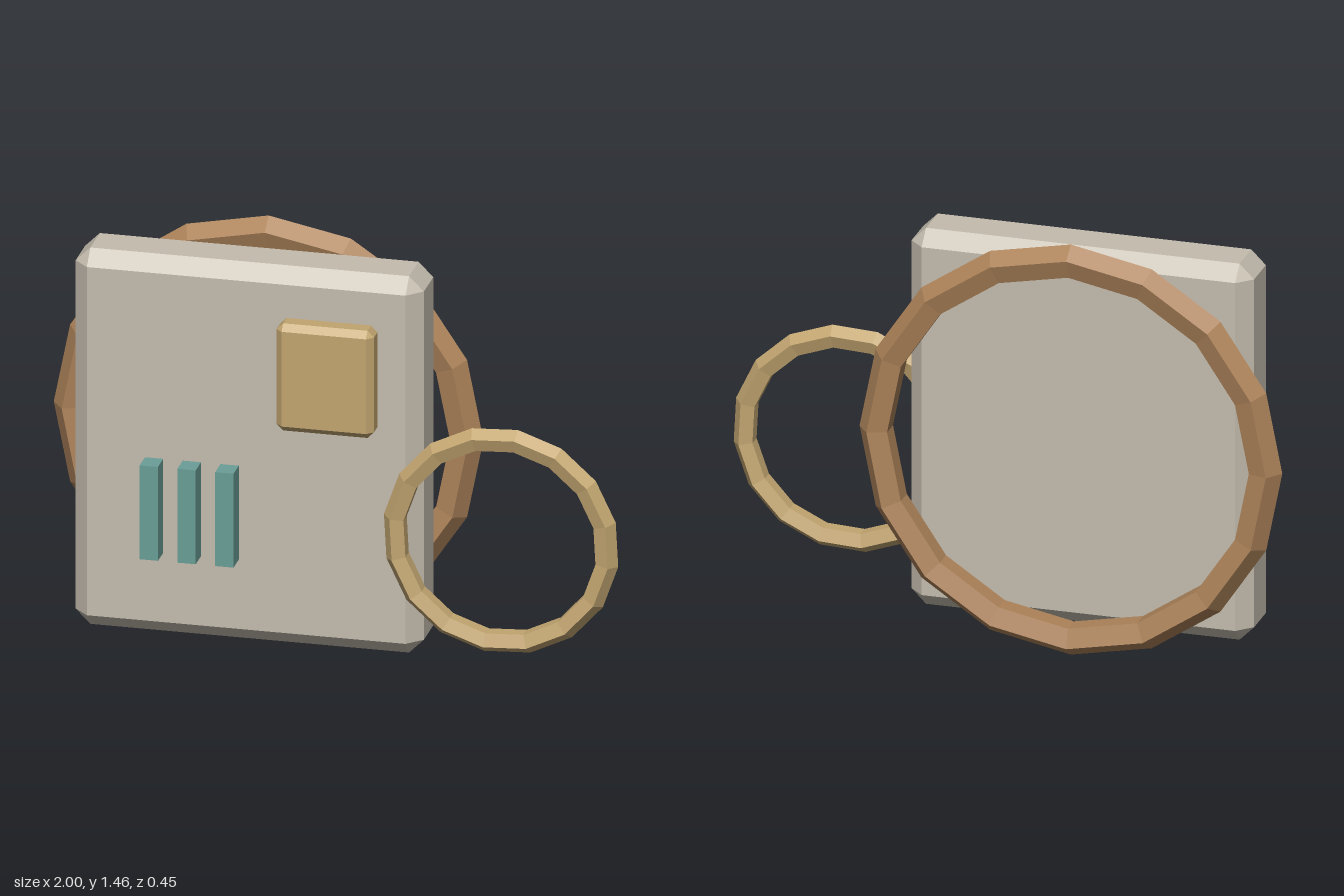
import * as THREE from 'three';
import { ConvexGeometry } from 'three/addons/geometries/ConvexGeometry.js';

const mat = (name, color) => {
  const m = new THREE.MeshStandardMaterial({ color, flatShading: true });
  m.name = name;
  return m;
};

// Box with a single flat chamfer on every edge and a triangle at each corner
function chamferBox(w, h, d, c) {
  const pts = [];
  for (const x of [-1, 1]) for (const y of [-1, 1]) for (const z of [-1, 1]) {
    for (let axis = 0; axis < 3; axis++) {
      const cut = [c, c, c];
      cut[axis] = 0;
      pts.push(new THREE.Vector3(x * (w / 2 - cut[0]), y * (h / 2 - cut[1]), z * (d / 2 - cut[2])));
    }
  }
  return new ConvexGeometry(pts);
}

export function createModel() {
  const model = new THREE.Group();
  const stone = mat('warm grey', 0xc4bcae);
  const bronze = mat('bronze brown', 0xac8259);
  const brass = mat('brass', 0xc2a570);
  const teal = mat('teal', 0x6a9e97);

  const add = (name, geometry, material, x, y, z) => {
    const mesh = new THREE.Mesh(geometry, material);
    mesh.name = name;
    mesh.position.set(x, y, z);
    model.add(mesh);
    return mesh;
  };

  // Main slab
  add('body', chamferBox(1.18, 1.335, 0.232, 0.05), stone, -0.27, 0.732, 0.036);

  // Large five-sided ring behind the slab
  add('backRing', new THREE.TorusGeometry(0.67, 0.058, 5, 16), bronze, -0.272, 0.73, -0.17);

  // Small ring at the front, slightly turned
  const ring = add('sideRing', new THREE.TorusGeometry(0.361, 0.04, 5, 16), brass, 0.603, 0.528, 0.19);
  ring.rotation.z = 0.25;

  // Raised pad in the upper corner
  add('pad', chamferBox(0.33, 0.38, 0.1, 0.022), brass, 0.01, 1.043, 0.173);

  // Three upright bars
  for (let i = 0; i < 3; i++) {
    add('bar' + (i + 1), new THREE.BoxGeometry(0.062, 0.333, 0.1), teal, -0.582 + i * 0.128, 0.527, 0.176);
  }
  return model;
}
